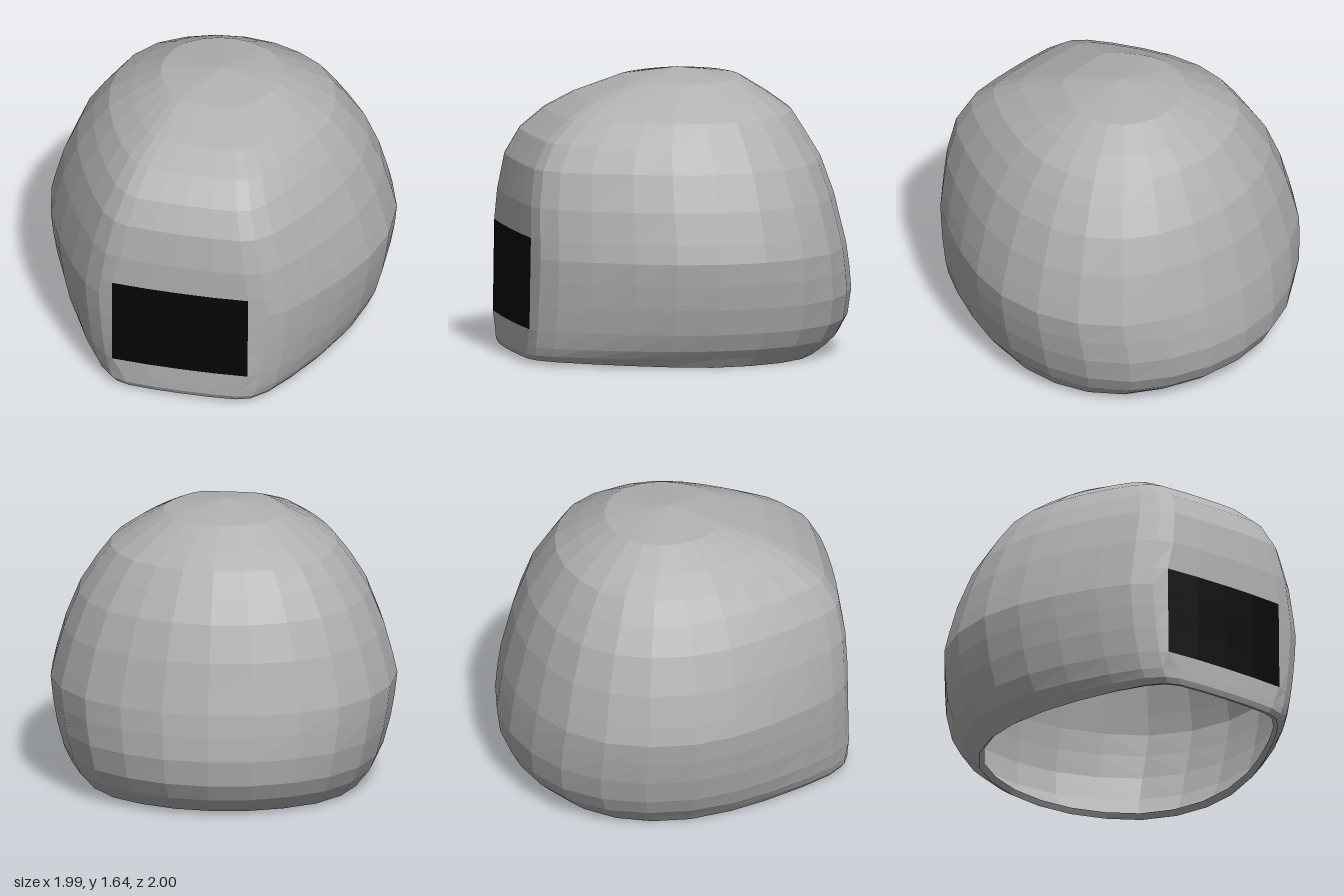
import * as THREE from 'three';

// Plan outline of one half, front centre to back centre, as fractions of width and depth
const PLAN = [
  [0, 1], [0.2, 0.997], [0.4, 0.985], [0.5, 0.955], [0.6, 0.87], [0.72, 0.7], [0.85, 0.47], [0.945, 0.25],
  [1, 0], [0.985, -0.28], [0.9, -0.53], [0.74, -0.74], [0.52, -0.88], [0.27, -0.97], [0, -1],
];
const OUTLINE = [...PLAN, ...PLAN.slice(1, -1).reverse().map(([x, z]) => [-x, z])];

// Horizontal sections: height, half width, front depth, back depth
const LEVELS = [
  [0.035, 0.76, 0.96, 0.77],
  [0.005, 0.79, 0.985, 0.79],
  [0.06, 0.83, 1, 0.87],
  [0.11, 0.87, 1, 0.925],
  [0.21, 0.915, 0.997, 0.98],
  [0.36, 0.955, 0.994, 1],
  [0.5, 0.98, 0.992, 0.985],
  [0.63, 0.995, 0.99, 0.965],
  [0.74, 0.97, 0.988, 0.938],
  [0.92, 0.92, 0.983, 0.895],
  [1.13, 0.835, 0.95, 0.82],
  [1.28, 0.74, 0.87, 0.73],
  [1.4, 0.65, 0.73, 0.655],
  [1.49, 0.52, 0.57, 0.53],
  [1.59, 0.35, 0.3, 0.37],
  [1.645, 0, 0, 0],
];
const WINDOW_BOTTOM = 4, WINDOW_TOP = 8, WINDOW_HALF = 0.4;

function sectionPoint(level, column) {
  const [y, width, front, back] = LEVELS[level];
  const [px, pz] = OUTLINE[column % OUTLINE.length];
  let x = px * width;
  const z = pz * (pz > 0 ? front : back);
  // Straighten the columns beside the window
  if (level >= WINDOW_BOTTOM && level <= WINDOW_TOP && pz > 0.98) {
    x = (px / 0.4) * WINDOW_HALF - 0.012;
  }
  // The bottom edge rises slightly at the front
  const lift = level === 1 ? 0.025 * Math.max(0, z) : 0;
  return [x, y + lift, z];
}

function isWindow(level, column) {
  const n = OUTLINE.length;
  return level >= WINDOW_BOTTOM && level < WINDOW_TOP && (column < 2 || column >= n - 2);
}

// Joins neighbouring sections, keeping only the faces the filter accepts
function loft(accepts) {
  const points = [];
  for (let level = 0; level < LEVELS.length - 1; level++) {
    for (let column = 0; column < OUTLINE.length; column++) {
      if (!accepts(level, column)) continue;
      const a = sectionPoint(level, column);
      const b = sectionPoint(level, column + 1);
      const c = sectionPoint(level + 1, column + 1);
      const d = sectionPoint(level + 1, column);
      points.push(...a, ...b, ...c);
      if (level < LEVELS.length - 2) points.push(...a, ...c, ...d);
    }
  }
  const geometry = new THREE.BufferGeometry();
  geometry.setAttribute('position', new THREE.Float32BufferAttribute(points, 3));
  geometry.computeVertexNormals();
  return geometry;
}

function makeMaterial(name, color) {
  const material = new THREE.MeshStandardMaterial({ color, flatShading: true, side: THREE.DoubleSide });
  material.name = name;
  return material;
}

export function createModel() {
  const group = new THREE.Group();
  group.name = 'helmet';

  // Faceted open shell with a rolled lower rim
  const shell = new THREE.Mesh(loft((l, c) => !isWindow(l, c)), makeMaterial('shell grey', 0xb0b0b0));
  shell.name = 'shell';

  // Dark front window, set flush in the shell and seen from both sides
  const frontWindow = new THREE.Mesh(loft(isWindow), makeMaterial('window black', 0x060606));
  frontWindow.name = 'frontWindow';

  group.add(shell, frontWindow);
  return group;
}
